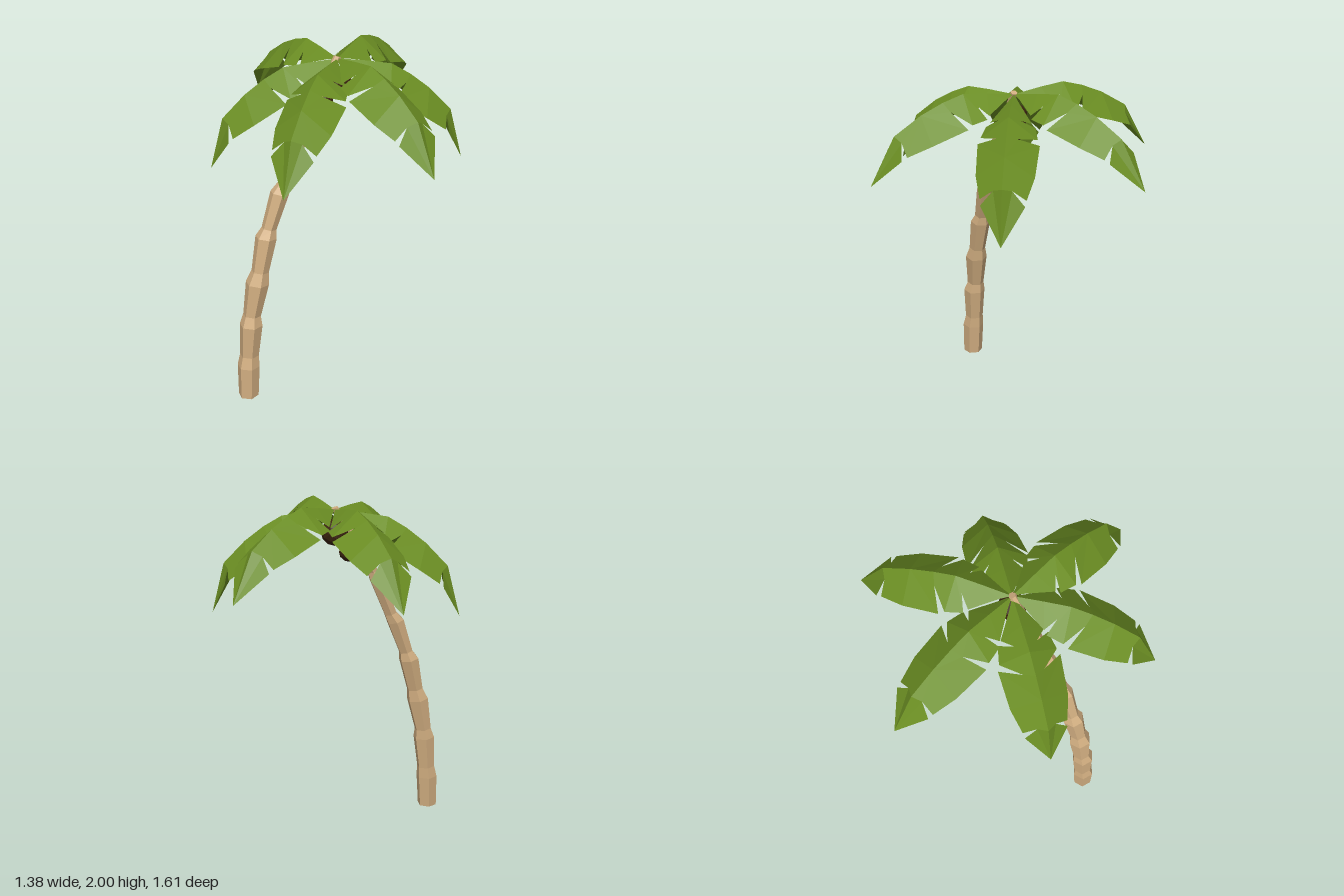
import * as THREE from 'three';

const flat = (name, color, extra = {}) => {
  const m = new THREE.MeshStandardMaterial({ color, flatShading: true, ...extra });
  m.name = name;
  return m;
};

// Trunk rings: [y, x, z, radius], wide below each joint and narrow above it
const RINGS = [
  [0, -0.46, 0.505, 0.06], [0.2, -0.455, 0.497, 0.066],
  [0.27, -0.45, 0.487, 0.056], [0.47, -0.435, 0.477, 0.067],
  [0.53, -0.43, 0.465, 0.052], [0.73, -0.397, 0.443, 0.067],
  [0.8, -0.382, 0.428, 0.05], [1.0, -0.35, 0.39, 0.061],
  [1.05, -0.335, 0.375, 0.042], [1.25, -0.28, 0.325, 0.052],
  [1.3, -0.255, 0.303, 0.038], [1.52, -0.19, 0.23, 0.043],
  [1.57, -0.17, 0.212, 0.032], [1.74, -0.105, 0.135, 0.036],
  [1.78, -0.09, 0.115, 0.026], [1.96, 0, 0.03, 0.02],
];

function trunkGeometry() {
  const n = RINGS.length - 1;
  const geo = new THREE.CylinderGeometry(1, 1, 1, 6, n, false, Math.PI / 6);
  const p = geo.attributes.position;
  for (let i = 0; i < p.count; i++) {
    const row = Math.round((p.getY(i) + 0.5) * n);
    const [y, x, z, r] = RINGS[row];
    const a = RINGS[Math.max(row - 1, 0)], b = RINGS[Math.min(row + 1, n)];
    const dx = p.getX(i) * r, dz = p.getZ(i) * r;
    // tilt each ring square to the bend; the foot stays level
    const tilt = row === 0 ? 0 : -(dx * (b[1] - a[1]) + dz * (b[2] - a[2])) / (b[0] - a[0]);
    p.setXYZ(i, x + dx, y + tilt * 0.6, z + dz);
  }
  geo.computeVertexNormals();
  return geo;
}

// Height of the frond's midrib along its length
const RIB = [[0, 0], [0.16, 0.03], [0.3, 0.05], [0.42, 0.02], [0.55, -0.03], [0.71, -0.12], [0.867, -0.38]];
function ribHeight(s) {
  let i = 1;
  while (i < RIB.length - 1 && s > RIB[i][0]) i++;
  const [s0, y0] = RIB[i - 1], [s1, y1] = RIB[i];
  return y0 + (y1 - y0) * (s - s0) / (s1 - s0);
}

// Half a frond as fans of [along, across]; gaps between fans are the slits
const FANS = [
  [[0.16, 0], [0, 0], [0.06, 0.03], [0.2, 0.115], [0.25, 0.06]],
  [[0.3, 0], [0.16, 0], [0.25, 0.06], [0.22, 0.135], [0.315, 0.155], [0.4, 0.055], [0.42, 0]],
  [[0.55, 0], [0.42, 0], [0.4, 0.055], [0.345, 0.168], [0.55, 0.157]],
  [[0.55, 0], [0.55, 0.157], [0.685, 0.123], [0.685, 0.05], [0.71, 0]],
  [[0.867, 0], [0.71, 0], [0.685, 0.05], [0.715, 0.118]],
];

function frondGeometry() {
  const v = [];
  for (const side of [1, -1]) {
    const put = ([s, w]) => v.push(s, ribHeight(s) - 0.82 * w, side * w);
    for (const f of FANS) {
      for (let i = 1; i < f.length - 1; i++) {
        put(f[0]);
        put(side > 0 ? f[i] : f[i + 1]);
        put(side > 0 ? f[i + 1] : f[i]);
      }
    }
  }
  const geo = new THREE.BufferGeometry();
  geo.setAttribute('position', new THREE.Float32BufferAttribute(v, 3));
  geo.computeVertexNormals();
  return geo;
}

export function createModel() {
  const model = new THREE.Group();
  model.name = 'palmTree';
  const bark = flat('bark', 0xd0ad80);
  const leaf = flat('leaf', 0x6b8e23, { side: THREE.DoubleSide });
  const husk = flat('husk', 0x3b2410);

  const add = (name, geo, mat) => {
    const mesh = new THREE.Mesh(geo, mat);
    mesh.name = name;
    model.add(mesh);
    return mesh;
  };

  add('trunk', trunkGeometry(), bark);

  // Fronds: one shape, turned and pitched so that each tip reaches its point
  const crown = new THREE.Vector3(0, 1.95, 0.03);
  const geo = frondGeometry();
  const restPitch = Math.atan2(-0.38, 0.867);
  const tips = [
    [0.25, 1.57, -0.8], [0.7, 1.33, -0.16], [0.61, 1.52, 0.65],
    [-0.15, 1.45, 0.8], [-0.7, 1.33, 0.25], [-0.59, 1.55, -0.57],
  ];
  tips.forEach((t, i) => {
    const d = new THREE.Vector3(...t).sub(crown);
    const frond = add(`frond${i + 1}`, geo, leaf);
    frond.position.copy(crown);
    const pitch = Math.atan2(d.y, Math.hypot(d.x, d.z)) - restPitch;
    frond.rotation.set(0, Math.atan2(-d.z, d.x), pitch, 'YZX');
  });

  // Coconuts under the crown
  for (const [i, [x, y, z, r]] of [[0, 1.82, 0.03, 0.078], [-0.08, 1.71, 0.05, 0.058]].entries()) {
    add(`coconut${i + 1}`, new THREE.IcosahedronGeometry(r, 1), husk).position.set(x, y, z);
  }
  return model;
}
